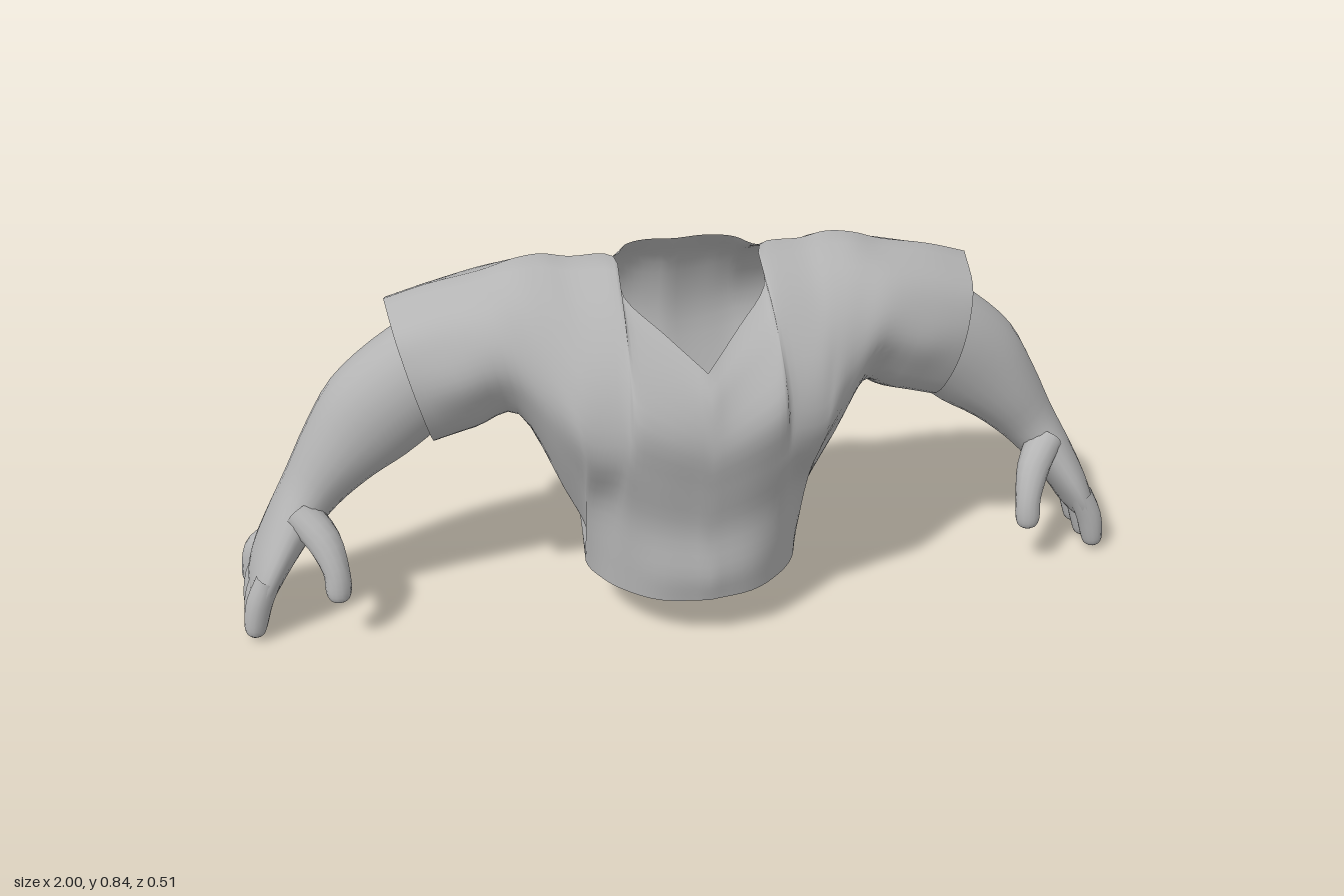
import * as THREE from 'three';
import { mergeGeometries, mergeVertices } from 'three/addons/utils/BufferGeometryUtils.js';

const V = (x, y, z) => new THREE.Vector3(x, y, z);
const smooth = (pts, n) => new THREE.CatmullRomCurve3(pts, false, 'catmullrom', 0.5).getPoints(n);

// Turns a grid of points (columns of rows) into a surface
function sheet(cols, flip) {
  const rows = cols[0].length, pos = [], idx = [];
  cols.forEach(c => c.forEach(p => pos.push(p.x, p.y, p.z)));
  for (let j = 0; j < cols.length - 1; j++) {
    for (let i = 0; i < rows - 1; i++) {
      const a = j * rows + i, b = a + rows;
      if (flip) idx.push(a, b + 1, b, a, a + 1, b + 1);
      else idx.push(a, b, b + 1, a, b + 1, a + 1);
    }
  }
  const g = new THREE.BufferGeometry();
  g.setAttribute('position', new THREE.Float32BufferAttribute(pos, 3));
  g.setIndex(idx);
  return g;
}

// Mirrored copy across x, with the corner order turned round
function mirror(geo) {
  const g = geo.clone().scale(-1, 1, 1), a = g.index.array;
  for (let i = 0; i < a.length; i += 3) [a[i + 1], a[i + 2]] = [a[i + 2], a[i + 1]];
  return g;
}

function weld(geos) {
  const g = mergeVertices(mergeGeometries(geos), 1e-4);
  g.computeVertexNormals();
  return g;
}

// Shirt columns from centre to sleeve hem: lower edge xyz, upper edge xyz, depths between
const LEVELS = [0.12, 0.3, 0.5, 0.7, 0.88];
const FRONT = [
  [0, .11, .22, 0, .65, .2, .23, .217, .235, .255, .24],
  [.1, .11, .2, .08, .717, .13, .21, .205, .235, .257, .2],
  [.17, .115, .155, .15, .775, .06, .165, .18, .225, .245, .16],
  [.215, .12, .1, .158, .835, -.02, .12, .15, .225, .205, .11],
  [.24, .12, .02, .25, .835, -.04, .06, .11, .205, .19, .09],
  [.235, .2, .02, .31, .842, -.05, .07, .13, .2, .16, .07],
  [.28, .3, 0, .37, .835, -.05, .06, .12, .155, .13, .06],
  [.37, .48, -.03, .44, .81, -.06, .045, .09, .115, .1, .045],
  [.46, .45, -.06, .55, .785, -.07, .03, .075, .1, .08, .03],
  [.55, .42, -.08, .64, .755, -.08, .02, .062, .076, .062, .02],
];
const BACK = [
  [0, .11, -.17, 0, .81, -.15, -.16, -.185, -.215, -.235, -.21],
  [.1, .11, -.155, .07, .815, -.145, -.15, -.18, -.22, -.25, -.22],
  [.17, .115, -.115, .12, .825, -.1, -.12, -.16, -.225, -.257, -.205],
  [.215, .12, -.06, .158, .835, -.02, -.08, -.13, -.22, -.255, -.18],
  [.24, .12, .02, .25, .835, -.04, -.03, -.11, -.205, -.25, -.19],
  [.235, .2, .02, .31, .842, -.05, -.04, -.12, -.2, -.24, -.19],
  [.28, .3, 0, .37, .835, -.05, -.05, -.13, -.205, -.235, -.18],
  [.37, .48, -.03, .44, .81, -.06, -.09, -.165, -.215, -.22, -.17],
  [.46, .45, -.06, .55, .785, -.07, -.14, -.2, -.23, -.22, -.165],
  [.55, .42, -.08, .64, .755, -.08, -.175, -.228, -.24, -.228, -.175],
];
const STEP = 4, ROWS = 24;

function shirtGrid(table) {
  const cols = table.map(([bx, by, bz, tx, ty, tz, ...depths]) => {
    const b = V(bx, by, bz), t = V(tx, ty, tz);
    const mid = depths.map((z, i) => b.clone().lerp(t, LEVELS[i]).setZ(z));
    return smooth([b, ...mid, t], ROWS);
  });
  const across = [];
  for (let i = 0; i <= ROWS; i++) across.push(smooth(cols.map(c => c[i]), (table.length - 1) * STEP));
  return across[0].map((_, j) => across.map(r => r[j]));
}

function shirtGeometry() {
  const front = shirtGrid(FRONT), back = shirtGrid(BACK);
  // Front and back meet at the side and underarm seam, and along the shoulder
  back.forEach((col, j) => {
    if (j >= 4 * STEP) col[0] = front[j][0];
    if (j >= 3 * STEP) col[ROWS] = front[j][ROWS];
  });
  const half = [sheet(front, false), sheet(back, true)];
  return weld([...half, ...half.map(mirror)]);
}

// Tapered limb through sections [x, y, z, radius, radius along z]
function limb(sections, steps, sides) {
  const n = (sections.length - 1) * steps;
  const path = smooth(sections.map(s => V(s[0], s[1], s[2])), n);
  const radii = smooth(sections.map(s => V(s[3], s[4], 0)), n);
  const rings = path.map((p, k) => {
    const t = path[Math.min(k + 1, n)].clone().sub(path[Math.max(k - 1, 0)]).normalize();
    const w = V(0, 0, 1).addScaledVector(t, -t.z).normalize();
    const u = w.clone().cross(t);
    return Array.from({ length: sides + 1 }, (_, i) => {
      const a = (i % sides) / sides * Math.PI * 2;
      return p.clone().addScaledVector(u, Math.cos(a) * radii[k].x).addScaledVector(w, Math.sin(a) * radii[k].y);
    });
  });
  return weld([sheet(rings, true)]);
}

const ARM = [
  [.5, .62, -.08, .12, .11], [.6, .55, -.09, .122, .11], [.685, .475, -.1, .118, .106],
  [.757, .398, -.105, .092, .1], [.822, .315, -.105, .068, .09], [.876, .24, -.095, .054, .102],
  [.925, .16, -.086, .043, .118], [.953, .1, -.086, .031, .116], [.962, .08, -.086, .003, .09],
];
const THUMB = [
  [.85, .28, -.04, .04, .045], [.81, .235, .01, .038, .036], [.79, .18, .045, .029, .028],
  [.788, .135, .056, .028, .026], [.788, .114, .058, .02, .019], [.788, .105, .059, .001, .001],
];
const finger = (z, drop) => [
  [.935, .15, z, .028, .029], [.96, .09 + drop, z, .029, .031], [.972, .04 + drop, z, .026, .029],
  [.976, .014 + drop, z, .02, .022], [.977, .002 + drop, z, .001, .001],
];

export function createModel() {
  const model = new THREE.Group();
  const grey = new THREE.MeshStandardMaterial({ color: 0xb4b4b4, side: THREE.DoubleSide });
  grey.name = 'plain grey';
  const add = (parent, name, geo) => {
    const mesh = new THREE.Mesh(geo, grey);
    mesh.name = name;
    parent.add(mesh);
  };

  add(model, 'shirt', shirtGeometry());

  // Arm and hand parts, built for the left and mirrored for the right
  const parts = [['arm', limb(ARM, 3, 24)], ['thumb', limb(THUMB, 3, 14)]];
  [[.004, .004], [-.054, 0], [-.116, .004], [-.176, .034]].forEach(([z, drop], i) =>
    parts.push([['index', 'middle', 'ring', 'little'][i] + 'Finger', limb(finger(z, drop), 3, 14)]));
  for (const side of ['left', 'right']) {
    const group = new THREE.Group();
    group.name = side + 'ArmAndHand';
    for (const [name, geo] of parts) {
      const g = side === 'left' ? geo : mirror(geo);
      if (side === 'right') g.computeVertexNormals();
      add(group, name, g);
    }
    model.add(group);
  }
  return model;
}
